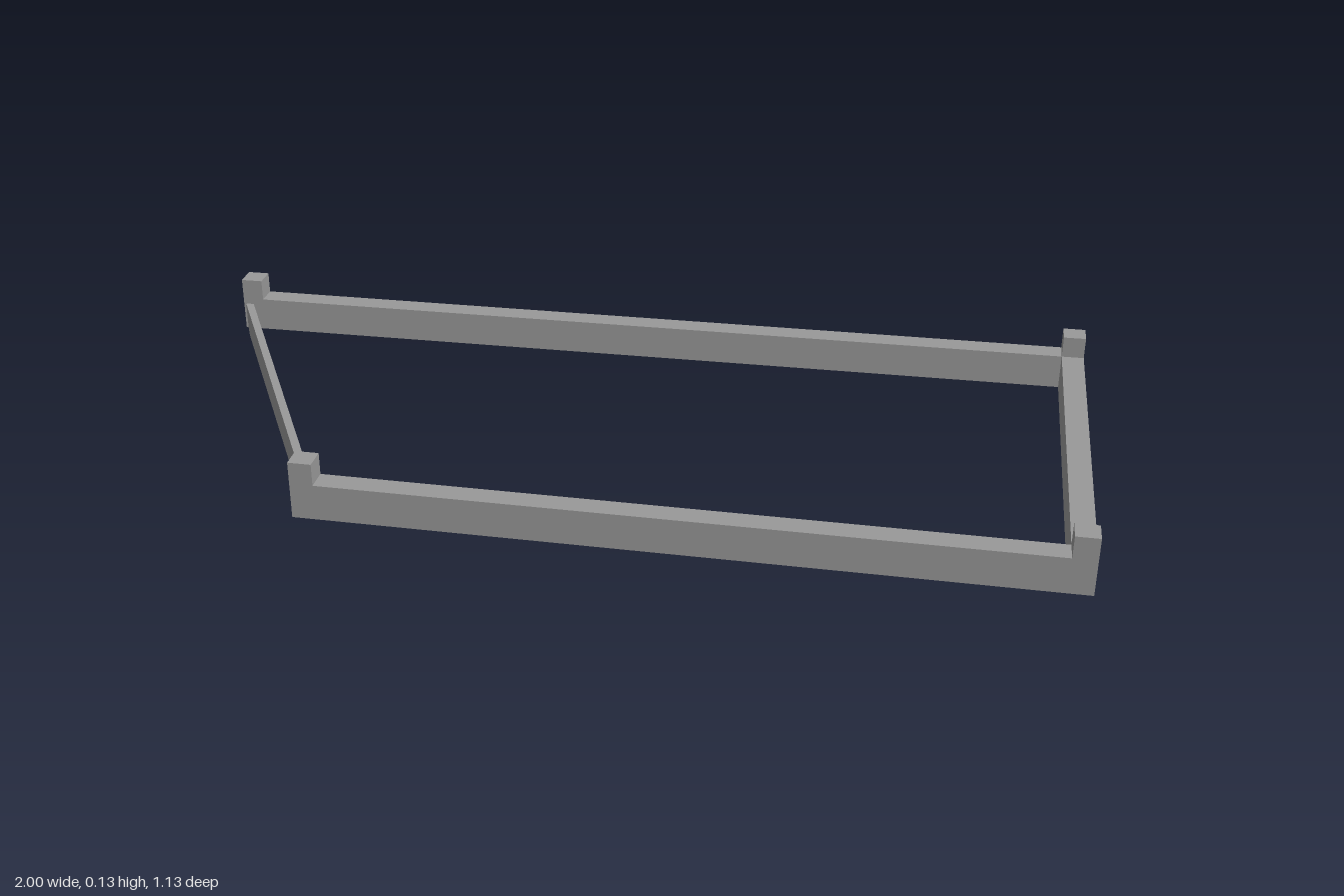
import * as THREE from 'three';

const W = 0.046;            // rail width
const Y0 = 0.015, Y1 = 0.088, Y2 = 0.133; // rail bottom, rail top, post top

// Upright prism over a footprint of [x, z] points
function prism(points, bottom, top, material, name) {
  const shape = new THREE.Shape(points.map(p => new THREE.Vector2(p.x, -p.y)));
  const geometry = new THREE.ExtrudeGeometry(shape, { depth: top - bottom, bevelEnabled: false });
  geometry.rotateX(-Math.PI / 2).translate(0, bottom, 0);
  const mesh = new THREE.Mesh(geometry, material);
  mesh.name = name;
  return mesh;
}

export function createModel() {
  const group = new THREE.Group();
  group.name = 'openFrame';
  const grey = new THREE.MeshStandardMaterial({ color: 0x999999 });
  grey.name = 'grey';

  // Outer corners of the frame on the ground plane (x, z)
  const backRight = new THREE.Vector2(-0.998, -0.181);
  const backLeft = new THREE.Vector2(0.835, -0.562);
  const frontLeft = new THREE.Vector2(0.998, 0.287);
  const frontRight = new THREE.Vector2(-0.46, 0.565);

  const step = (from, to) => to.clone().sub(from).normalize().multiplyScalar(W);
  const side = step(backLeft, frontLeft);
  const corners = [
    { name: 'backRightPost', p: backRight, a: step(backRight, backLeft), b: side },
    { name: 'backLeftPost', p: backLeft, a: step(backLeft, backRight), b: side },
    { name: 'frontLeftPost', p: frontLeft, a: step(frontLeft, frontRight), b: side.clone().negate() },
    { name: 'frontRightPost', p: frontRight, a: step(frontRight, frontLeft), b: side.clone().negate() },
  ];
  const inner = c => c.p.clone().add(c.a).add(c.b);

  // Three joined rails, open on the right
  const outline = [
    ...corners.map(c => c.p),
    frontRight.clone().add(corners[3].b),
    inner(corners[2]),
    inner(corners[1]),
    backRight.clone().add(corners[0].b),
  ];
  group.add(prism(outline, Y0, Y1, grey, 'rails'));

  // Short posts standing on the corners
  for (const c of corners) {
    const foot = [c.p, c.p.clone().add(c.a), inner(c), c.p.clone().add(c.b)];
    group.add(prism(foot, Y1, Y2, grey, c.name));
  }

  // Thin board closing the right side, its lower ends cut at a slant
  const start = new THREE.Vector2(-0.986, -0.138), end = new THREE.Vector2(-0.458, 0.522);
  const length = start.distanceTo(end), cut = 0.015;
  const profile = new THREE.Shape([
    new THREE.Vector2(cut, 0), new THREE.Vector2(length - cut, 0),
    new THREE.Vector2(length, Y0), new THREE.Vector2(length, 0.075),
    new THREE.Vector2(0, 0.075), new THREE.Vector2(0, Y0),
  ]);
  const board = new THREE.Mesh(
    new THREE.ExtrudeGeometry(profile, { depth: 0.016, bevelEnabled: false }).translate(0, 0, -0.016), grey);
  board.name = 'thinBoard';
  board.position.set(start.x, 0, start.y);
  board.rotation.y = -Math.atan2(end.y - start.y, end.x - start.x);
  group.add(board);

  return group;
}
